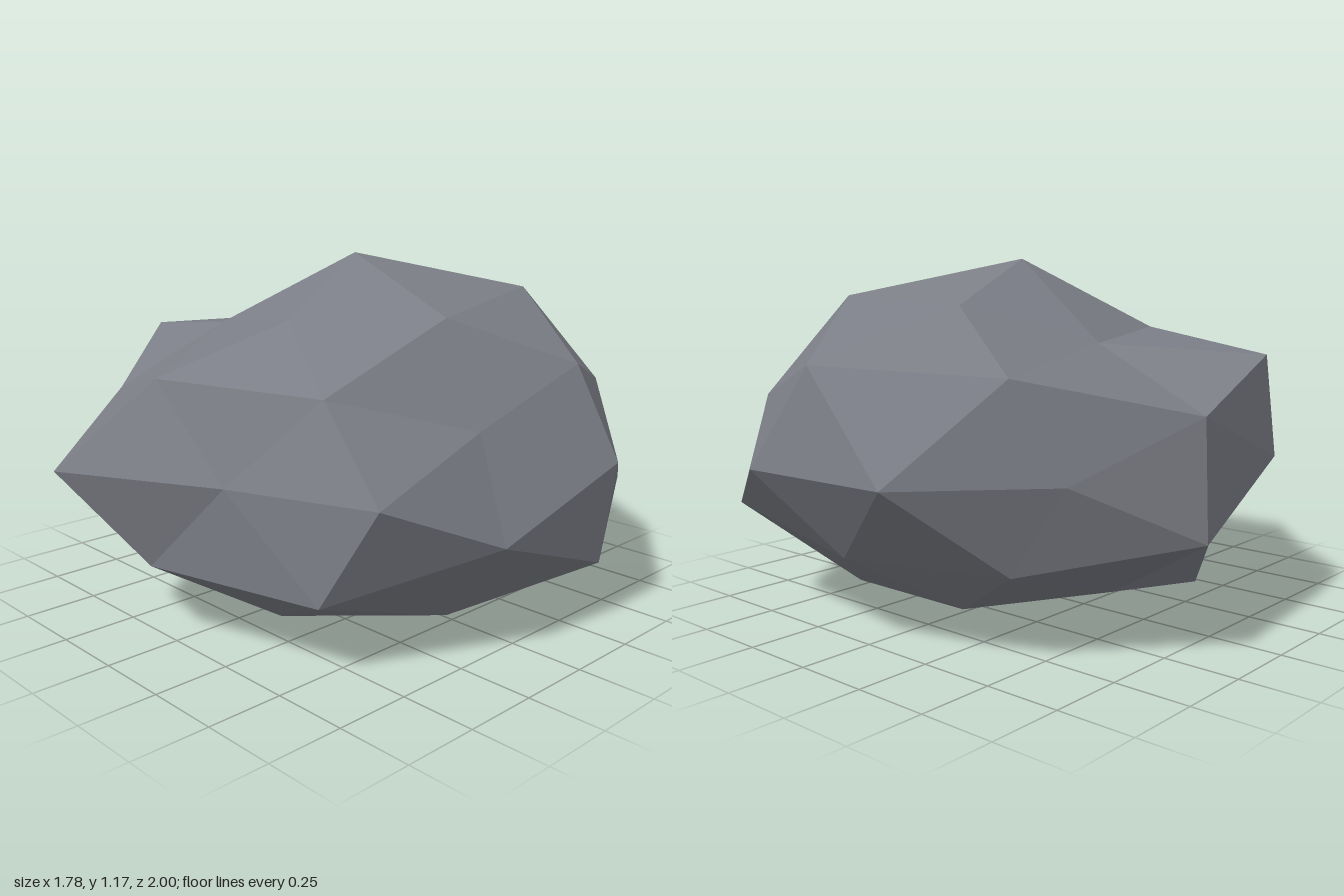
import * as THREE from 'three';

// Radius of each corner of the boulder, grouped by height (in hundredths
// of the unit sphere) and then by heading around the vertical axis (degrees).
const RADII = {
  100: { 0: 1.0 },
  85: { 0: 0.842, 180: 0.908 },
  81: { 58: 0.77, 122: 0.714, 238: 0.995, 302: 0.92 },
  53: { 90: 0.985, 270: 0.93 },
  50: { 21: 0.925, 159: 0.961, 201: 1.02, 339: 0.871 },
  31: { 58: 0.85, 122: 0.945, 238: 0.903, 302: 0.763 },
  0: { 0: 0.82, 32: 1.07, 90: 0.873, 148: 0.851, 180: 0.97, 212: 0.985, 270: 0.936, 328: 0.936 },
  '-31': { 58: 0.8, 122: 0.965, 238: 1.01, 302: 0.91 },
  '-50': { 21: 0.975, 159: 0.89, 201: 0.89, 339: 1.008 },
  '-53': { 90: 0.805, 270: 1.05 },
  '-81': { 58: 1.085, 122: 0.85, 238: 0.965, 302: 0.98 },
  '-85': { 0: 0.975, 180: 0.9 },
  '-100': { 0: 0.895 },
};
const SQUASH = 0.62;
const CENTRE = new THREE.Vector3(-0.003, 0.556, -0.04);
const TURN = THREE.MathUtils.degToRad(72);

export function createModel() {
  const stone = new THREE.MeshStandardMaterial({ color: 0x7b7e86, flatShading: true });
  stone.name = 'stone grey';

  // Push each corner of a subdivided icosahedron in or out, then turn and flatten it
  const geometry = new THREE.IcosahedronGeometry(1, 1);
  const pos = geometry.attributes.position;
  const v = new THREE.Vector3();
  for (let i = 0; i < pos.count; i++) {
    v.fromBufferAttribute(pos, i);
    const flat = Math.hypot(v.x, v.z);
    const heading = flat < 0.01 ? 0 : Math.atan2(v.z, v.x);
    const degrees = (Math.round(THREE.MathUtils.radToDeg(heading)) + 360) % 360;
    const radius = RADII[Math.round(v.y * 100)][degrees];
    pos.setXYZ(
      i,
      CENTRE.x + Math.cos(heading + TURN) * flat * radius,
      CENTRE.y + v.y * SQUASH * radius,
      CENTRE.z + Math.sin(heading + TURN) * flat * radius,
    );
  }
  geometry.deleteAttribute('uv');
  geometry.computeVertexNormals();

  const boulder = new THREE.Mesh(geometry, stone);
  boulder.name = 'boulder';

  const group = new THREE.Group();
  group.name = 'rock';
  group.add(boulder);
  return group;
}
